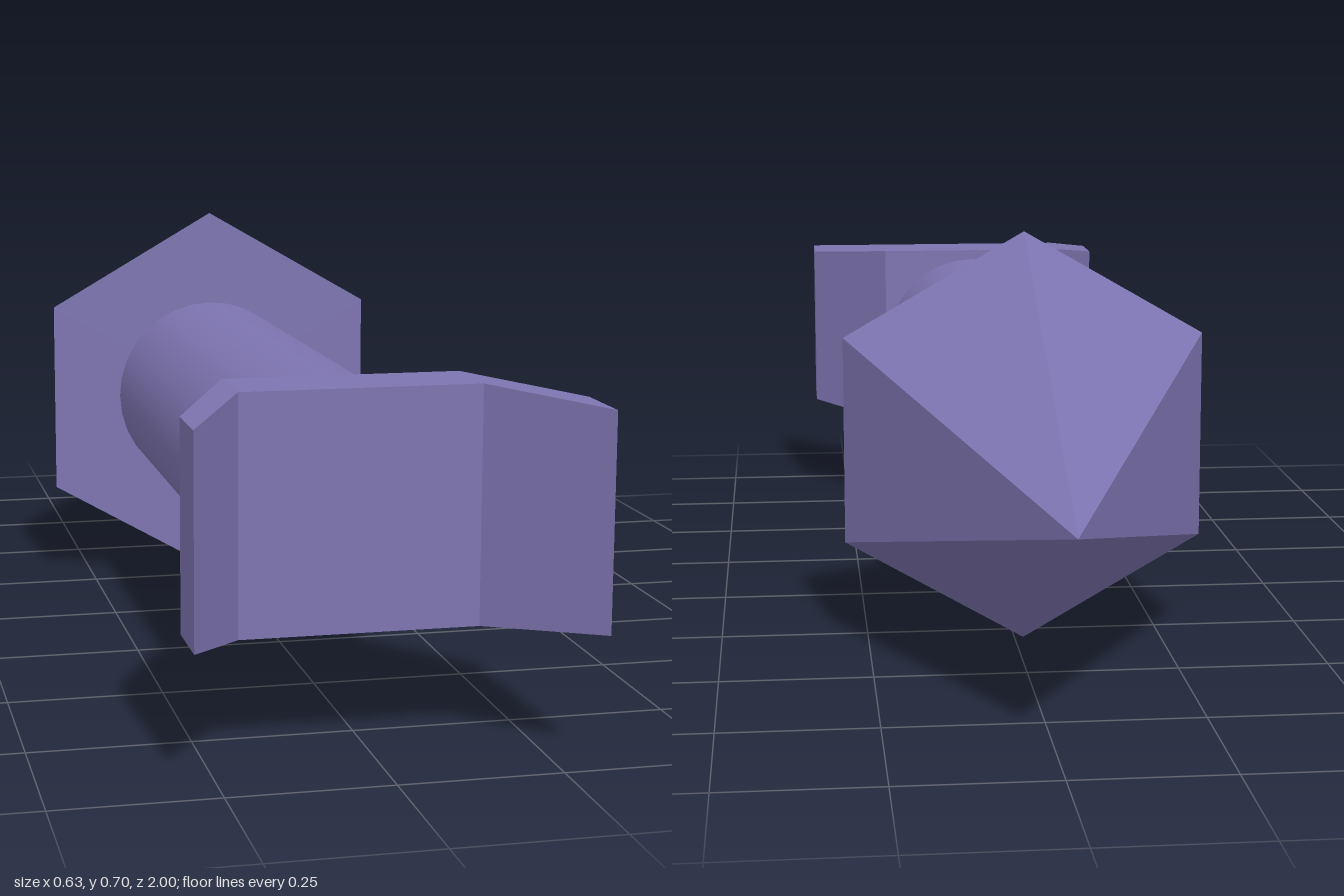
import * as THREE from 'three';

const CX = -0.015, CY = 0.352; // axis of the arrow

// Solid lofted along x through rectangular sections [x, yLow, yHigh, zBack, zFront]
function loftBoxes(sections) {
  const pos = [];
  const rings = sections.map(([x, y0, y1, zb, zf]) => [[x, y0, zb], [x, y1, zb], [x, y1, zf], [x, y0, zf]]);
  const quad = (a, b, c, d) => pos.push(...a, ...b, ...c, ...a, ...c, ...d);
  for (let s = 0; s < rings.length - 1; s++) {
    for (let i = 0; i < 4; i++) {
      const j = (i + 1) % 4;
      quad(rings[s][i], rings[s][j], rings[s + 1][j], rings[s + 1][i]);
    }
  }
  const [a, b, c, d] = rings[0];
  quad(d, c, b, a);
  quad(...rings[rings.length - 1]);
  const geo = new THREE.BufferGeometry();
  geo.setAttribute('position', new THREE.Float32BufferAttribute(pos, 3));
  geo.computeVertexNormals();
  return geo;
}

export function createModel() {
  const group = new THREE.Group();
  const color = 0x7d74b0;
  const flat = new THREE.MeshStandardMaterial({ color, flatShading: true });
  const smooth = new THREE.MeshStandardMaterial({ color });
  const add = (name, geo, mat) => {
    const mesh = new THREE.Mesh(geo, mat);
    mesh.name = name;
    group.add(mesh);
    return mesh;
  };

  // Six-sided point, tip towards -z
  const head = new THREE.ConeGeometry(0.35, 0.7, 6).rotateX(-Math.PI / 2);
  add('arrowHead', head, flat).position.set(CX, CY, -0.65);

  // Round shaft, running a little way into the tail
  const shaft = new THREE.CylinderGeometry(0.177, 0.177, 1.07, 32).rotateX(-Math.PI / 2);
  add('shaft', shaft, smooth).position.set(CX, CY, 0.235);

  // Tail block with two swept wings
  add('tail', loftBoxes([
    [-0.29, 0.208, 0.523, 0.885, 0.99],
    [-0.198, 0.183, 0.548, 0.725, 0.845],
    [0.168, 0.183, 0.548, 0.725, 0.845],
    [0.315, 0.202, 0.53, 0.885, 1.0],
  ]), flat);

  return group;
}
